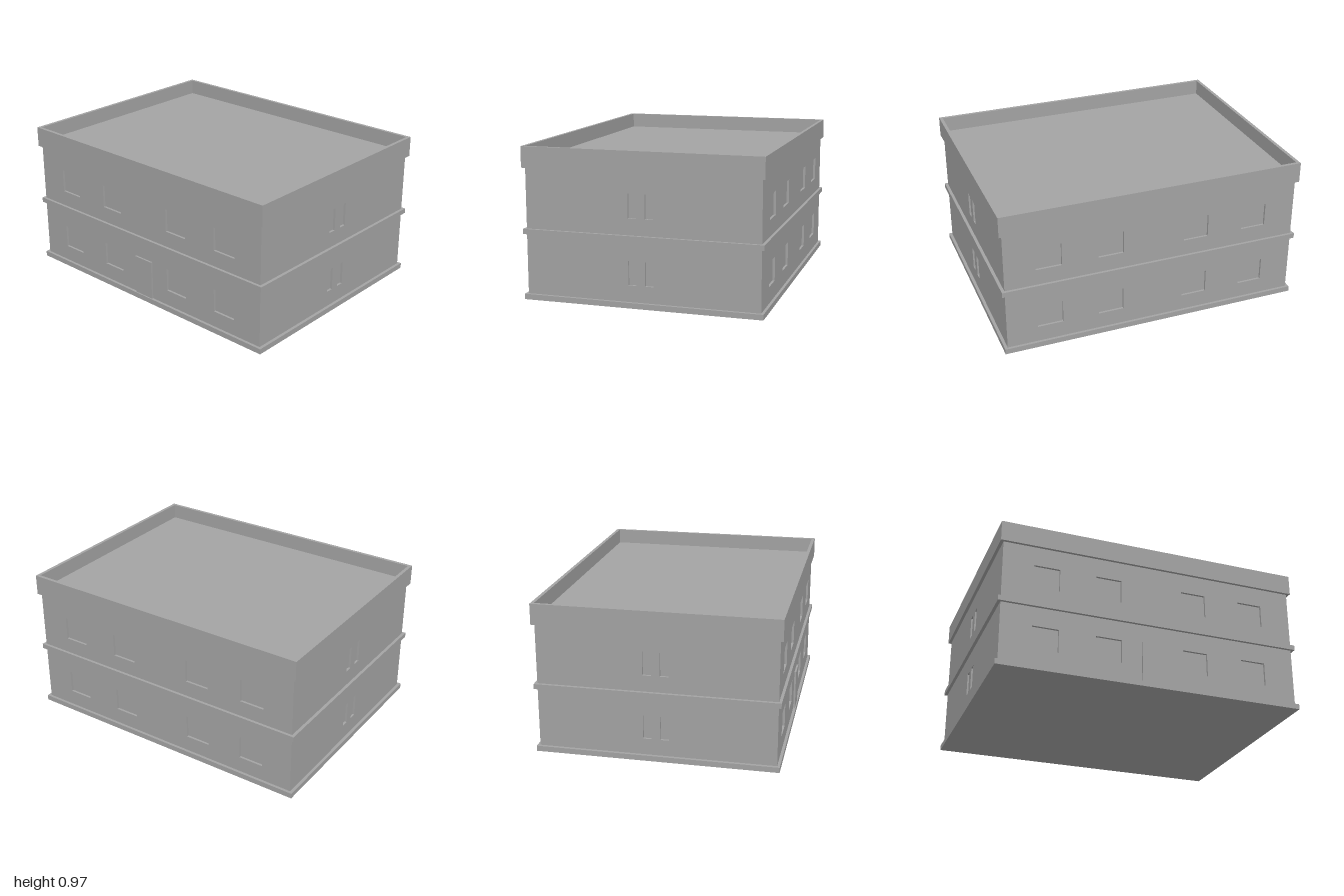
import * as THREE from 'three';

const RECESS = 0.015;            // depth of the window reveals
const HALF_X = 0.98, HALF_Z = 0.75;
const WALL_BOTTOM = 0.035, WALL_TOP = 0.838;
const SILLS = [0.14, 0.557];     // window sill height on each storey
const WINDOW_HEIGHT = 0.153;

// Trace a rectangle on a Shape or Path
function rect(path, x0, y0, x1, y1) {
  path.moveTo(x0, y0);
  path.lineTo(x1, y0);
  path.lineTo(x1, y1);
  path.lineTo(x0, y1);
  path.closePath();
  return path;
}

export function createModel() {
  const model = new THREE.Group();
  model.name = 'building';
  const grey = new THREE.MeshStandardMaterial({ color: 0xa3a3a3 });
  grey.name = 'plain grey';

  function add(name, geometry, parent = model) {
    const mesh = new THREE.Mesh(geometry, grey);
    mesh.name = name;
    parent.add(mesh);
    return mesh;
  }

  // Box given by its width, depth and bottom and top heights
  function slab(name, width, depth, y0, y1) {
    const mesh = add(name, new THREE.BoxGeometry(width, y1 - y0, depth));
    mesh.position.y = (y0 + y1) / 2;
    return mesh;
  }

  // Outer wall skin with window openings on both storeys
  function wall(name, halfWidth, distance, angle, centres, windowWidth) {
    const shape = rect(new THREE.Shape(), -halfWidth, WALL_BOTTOM, halfWidth, WALL_TOP);
    for (const sill of SILLS) {
      for (const c of centres) {
        shape.holes.push(rect(new THREE.Path(),
          c - windowWidth / 2, sill, c + windowWidth / 2, sill + WINDOW_HEIGHT));
      }
    }
    const geometry = new THREE.ExtrudeGeometry(shape, { depth: RECESS, bevelEnabled: false });
    geometry.translate(0, 0, distance - RECESS);
    add(name, geometry).rotation.y = angle;
  }

  // Floors and the inner core that closes the window recesses
  slab('baseSlab', 2, 1.536, 0, WALL_BOTTOM);
  slab('windowPanes', 2 * (HALF_X - RECESS), 2 * (HALF_Z - RECESS), WALL_BOTTOM, WALL_TOP);
  slab('floorBand', 2, 1.536, 0.42, 0.453);
  slab('roofSlab', 1.98, 1.516, WALL_TOP, 0.871);

  // Walls
  const longCentres = [-0.695, -0.29, 0.287, 0.693];
  wall('frontWall', HALF_X, HALF_Z, 0, longCentres, 0.167);
  wall('backWall', HALF_X, HALF_Z, Math.PI, longCentres, 0.167);
  const sideCentres = [-0.054, 0.054];
  wall('leftWall', HALF_Z - RECESS, HALF_X, Math.PI / 2, sideCentres, 0.053);
  wall('rightWall', HALF_Z - RECESS, HALF_X, -Math.PI / 2, sideCentres, 0.053);

  // Parapet ring around the sunken roof
  const ring = rect(new THREE.Shape(), -1, -0.768, 1, 0.768);
  ring.holes.push(rect(new THREE.Path(), -0.978, -0.746, 0.978, 0.746));
  const parapet = new THREE.ExtrudeGeometry(ring, { depth: 0.972 - WALL_TOP, bevelEnabled: false });
  parapet.rotateX(-Math.PI / 2);
  add('parapet', parapet).position.y = WALL_TOP;

  // Front door, standing slightly proud of the wall
  const door = add('frontDoor', new THREE.BoxGeometry(0.147, 0.262, 0.022));
  door.position.set(0, 0.168, 0.751);

  return model;
}
